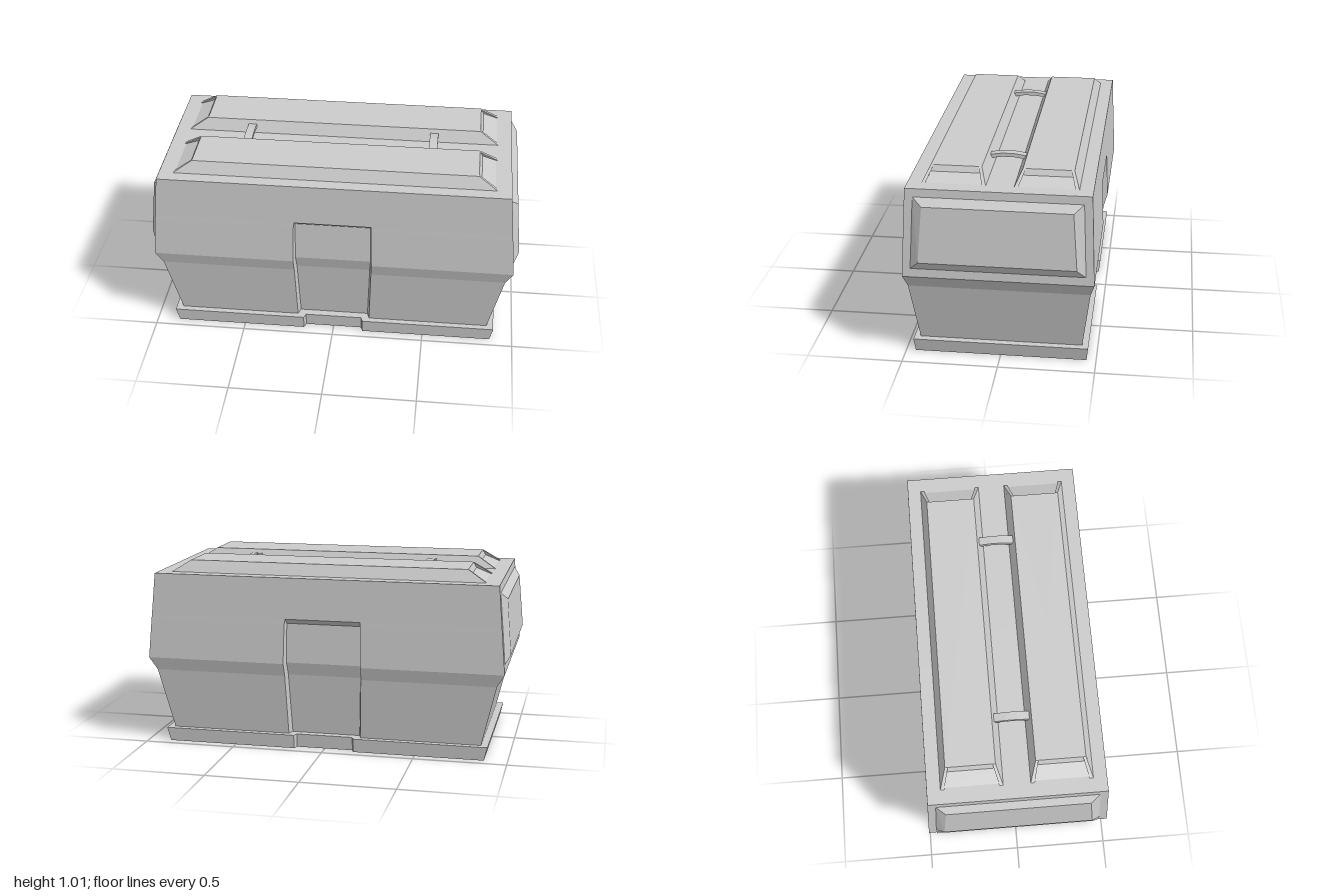
import * as THREE from 'three';

const material = new THREE.MeshStandardMaterial({ color: 0xcccccc, flatShading: true });

// Skin a stack of equal-length loops and close both ends with fans.
function loft(rings) {
  const pos = [];
  const tri = (...pts) => pts.forEach((p) => pos.push(...p));
  const centre = (r) => [0, 1, 2].map((k) => r.reduce((s, p) => s + p[k], 0) / r.length);
  const n = rings[0].length;
  const first = rings[0], last = rings[rings.length - 1];
  const c0 = centre(first), c1 = centre(last);
  for (let i = 0; i < n; i++) {
    const j = (i + 1) % n;
    for (let k = 0; k + 1 < rings.length; k++) {
      const a = rings[k], b = rings[k + 1];
      tri(a[i], a[j], b[j]);
      tri(a[i], b[j], b[i]);
    }
    tri(c0, first[j], first[i]);
    tri(c1, last[i], last[j]);
  }
  const g = new THREE.BufferGeometry();
  g.setAttribute('position', new THREE.Float32BufferAttribute(pos, 3));
  g.computeVertexNormals();
  return g;
}

function add(parent, name, geometry) {
  const mesh = new THREE.Mesh(geometry, material);
  mesh.name = name;
  parent.add(mesh);
  return mesh;
}

// Rectangular loop at height y
const rect = (y, x0, x1, z0, z1) => [[x0, y, z1], [x1, y, z1], [x1, y, z0], [x0, y, z0]];

// Rectangle with a notch in the front and back: outer half width w, inner wi, depth d
function notched(y, x, z, w, wi, d) {
  const front = [[-x, y, z], [-w, y, z], [-wi, y, z - d], [wi, y, z - d], [w, y, z], [x, y, z]];
  return [...front, ...front.map(([px, py, pz]) => [-px, py, -pz])];
}

export function createModel() {
  const model = new THREE.Group();
  model.name = 'toolChest';

  // Plinth, tapered body, lid and the front and back recesses
  add(model, 'body', loft([
    notched(0, 0.875, 0.45, 0.165, 0.155, 0.03),
    notched(0.075, 0.893, 0.458, 0.165, 0.155, 0.03),
    notched(0.075, 0.855, 0.425, 0.2, 0.188, 0.04),
    notched(0.41, 0.935, 0.467, 0.21, 0.2, 0.04),
    notched(0.48, 0.975, 0.487, 0.213, 0.205, 0.04),
    notched(0.695, 0.957, 0.478, 0.208, 0.203, 0.04),
    notched(0.725, 0.954, 0.4765, 0.207, 0.203, 0),
    notched(0.947, 0.935, 0.467, 0.207, 0.203, 0),
  ]));

  // Raised bevelled panel on each end
  const panel = loft([
    [[0.938, 0.905, -0.428], [0.938, 0.905, 0.428], [0.971, 0.525, 0.445], [0.971, 0.525, -0.445]],
    [[0.972, 0.865, -0.378], [0.972, 0.865, 0.378], [0.998, 0.57, 0.4], [0.998, 0.57, -0.4]],
  ]);
  add(model, 'leftEndPanel', panel);
  add(model, 'rightEndPanel', panel).rotation.y = Math.PI;

  // Two ridges along the lid, each with a pocket sunk into its sloping ends
  const ridgeCore = loft([
    rect(0.947, -0.85, 0.85, -0.1625, 0.1625),
    rect(0.98, -0.775, 0.775, -0.1455, 0.1455),
    rect(1.01, -0.76, 0.76, -0.13, 0.13),
  ]);
  const leftCheek = loft([
    rect(0.947, 0.7, 0.86, 0.1425, 0.1625),
    rect(1.01, 0.7, 0.76, 0.115, 0.13),
  ]);
  const rightCheek = loft([
    rect(0.947, 0.7, 0.86, -0.1625, -0.1425),
    rect(1.01, 0.7, 0.76, -0.13, -0.115),
  ]);
  for (const side of [1, -1]) {
    const ridge = new THREE.Group();
    ridge.name = side > 0 ? 'frontLidRidge' : 'backLidRidge';
    ridge.position.z = side * 0.2335;
    add(ridge, 'ridgeCore', ridgeCore);
    for (const turn of [0, Math.PI]) {
      add(ridge, 'ridgeCheek', leftCheek).rotation.y = turn;
      add(ridge, 'ridgeCheek', rightCheek).rotation.y = turn;
    }
    model.add(ridge);
  }

  // Small arched straps bridging the ridges
  const arch = new THREE.Shape([
    [-0.1, 0.968], [-0.03, 0.978], [0.03, 0.978], [0.1, 0.968],
    [0.1, 0.988], [0.03, 0.998], [-0.03, 0.998], [-0.1, 0.988],
  ].map(([z, y]) => new THREE.Vector2(z, y)));
  const strap = new THREE.ExtrudeGeometry(arch, { depth: 0.045, bevelEnabled: false });
  strap.translate(0, 0, -0.0225).rotateY(Math.PI / 2);
  for (const x of [-0.507, 0.507]) add(model, 'lidStrap', strap).position.x = x;

  return model;
}
